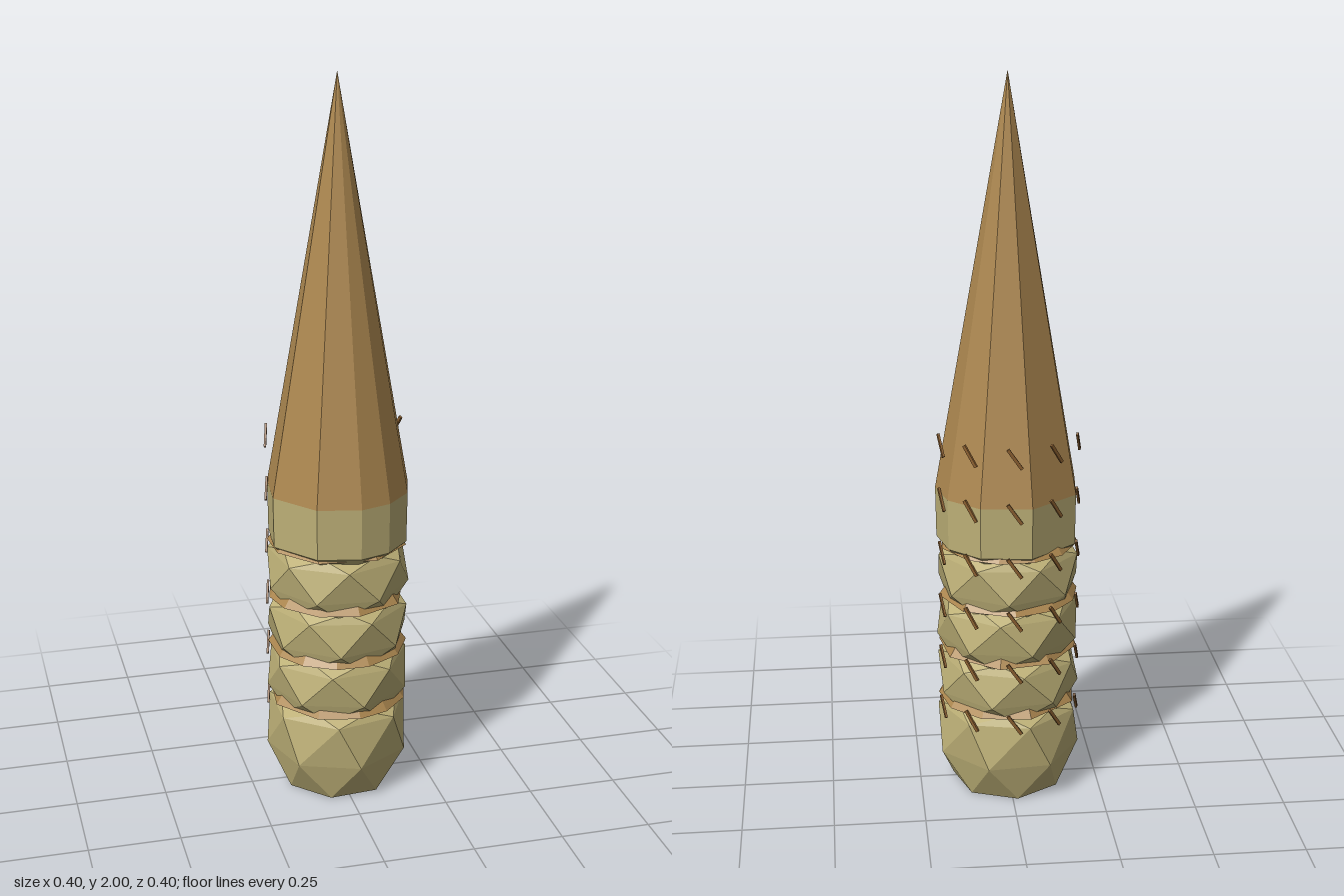
import * as THREE from 'three';

const material = (name, color) => {
  const m = new THREE.MeshStandardMaterial({ color });
  m.name = name;
  m.flatShading = true;
  return m;
};

// Even ring of n angles, shifted by a number of steps.
const evenAngles = (n, shift) =>
  Array.from({ length: n }, (_, i) => ((i + shift) / n) * Math.PI * 2);

// Faceted solid through rings of { y, r, angles }, listed from bottom to top.
function loft(rings) {
  const pos = [];
  const pts = rings.map(({ y, r, angles }) =>
    angles.map((a) => [r * Math.cos(a), y, r * Math.sin(a)]));
  const n = pts[0].length;
  const last = rings.length - 1;
  for (let i = 0; i < n; i++) {
    const j = (i + 1) % n;
    pos.push(0, rings[0].y, 0, ...pts[0][i], ...pts[0][j]);
    for (let k = 0; k < last; k++) {
      const lo = pts[k], hi = pts[k + 1];
      pos.push(...lo[i], ...hi[i], ...lo[j]);
      if (rings[k + 1].r > 0) pos.push(...lo[j], ...hi[i], ...hi[j]);
    }
    if (rings[last].r > 0) pos.push(0, rings[last].y, 0, ...pts[last][j], ...pts[last][i]);
  }
  const g = new THREE.BufferGeometry();
  g.setAttribute('position', new THREE.Float32BufferAttribute(pos, 3));
  g.computeVertexNormals();
  return g;
}

export function createModel() {
  const group = new THREE.Group();
  const brown = material('warm brown', 0xad8850);
  const sand = material('dry sand', 0xbdb077);
  const bark = material('dark bark', 0x8a5f30);
  const add = (name, geometry, mat) => {
    const mesh = new THREE.Mesh(geometry, mat);
    mesh.name = name;
    group.add(mesh);
    return mesh;
  };

  const pitch = 0.154, firstRim = 0.262;
  const rimY = (k) => firstRim + k * pitch;
  // Uneven ten-sided outline shared by the spire and the rims.
  const outline = [3, 30, 59, 85, 120, 165, 207, 256, 297, 330].map(THREE.MathUtils.degToRad);

  // Tall pointed spire
  add('spire', loft([
    { y: rimY(4), r: 0.198, angles: outline },
    { y: 2, r: 0, angles: outline },
  ]), brown);

  // Thin brown rims between the segments
  for (let k = 0; k < 4; k++) {
    const angles = outline.map((a) => a + k * 1.3);
    add('rim', loft([
      { y: rimY(k), r: 0.194, angles },
      { y: rimY(k) + 0.06, r: 0.15, angles },
    ]), brown);
  }

  // Rounded foot segment with a flat underside
  add('footSegment', loft([
    { y: 0, r: 0.155, angles: evenAngles(7, 0.15) },
    { y: 0.11, r: 0.2, angles: evenAngles(7, 0.65) },
    { y: 0.235, r: 0.196, angles: evenAngles(7, 1.0) },
    { y: 0.26, r: 0.165, angles: evenAngles(7, 1.4) },
  ]), sand);

  // Faceted middle segments, each turned against the one below
  for (let k = 0; k < 3; k++) {
    const y = rimY(k), s = 0.37 * k + 0.2;
    add('middleSegment', loft([
      { y: y - 0.02, r: 0.165, angles: evenAngles(7, s) },
      { y: y + 0.035, r: 0.198, angles: evenAngles(7, s + 0.4) },
      { y: y + 0.125, r: 0.195, angles: evenAngles(7, s + 0.9) },
      { y: y + 0.152, r: 0.165, angles: evenAngles(7, s + 1.3) },
    ]), sand);
  }

  // Upright collar below the spire
  add('collar', loft([
    { y: rimY(3) - 0.02, r: 0.16, angles: outline },
    { y: rimY(3) + 0.012, r: 0.196, angles: outline },
    { y: rimY(4), r: 0.198, angles: outline },
  ]), sand);

  // Slanted bristles around the back half, six rows of five
  const bristle = new THREE.BoxGeometry(0.009, 0.066, 0.006);
  for (let row = 0; row < 6; row++) {
    for (let c = 0; c < 5; c++) {
      const a = THREE.MathUtils.degToRad(18 + 36 * c);
      const mesh = add('bristle', bristle, bark);
      mesh.position.set(0.195 * Math.cos(a), 0.25 + row * pitch, -0.195 * Math.sin(a));
      mesh.rotation.set(0, a + Math.PI / 2, 0.6);
    }
  }
  return group;
}
